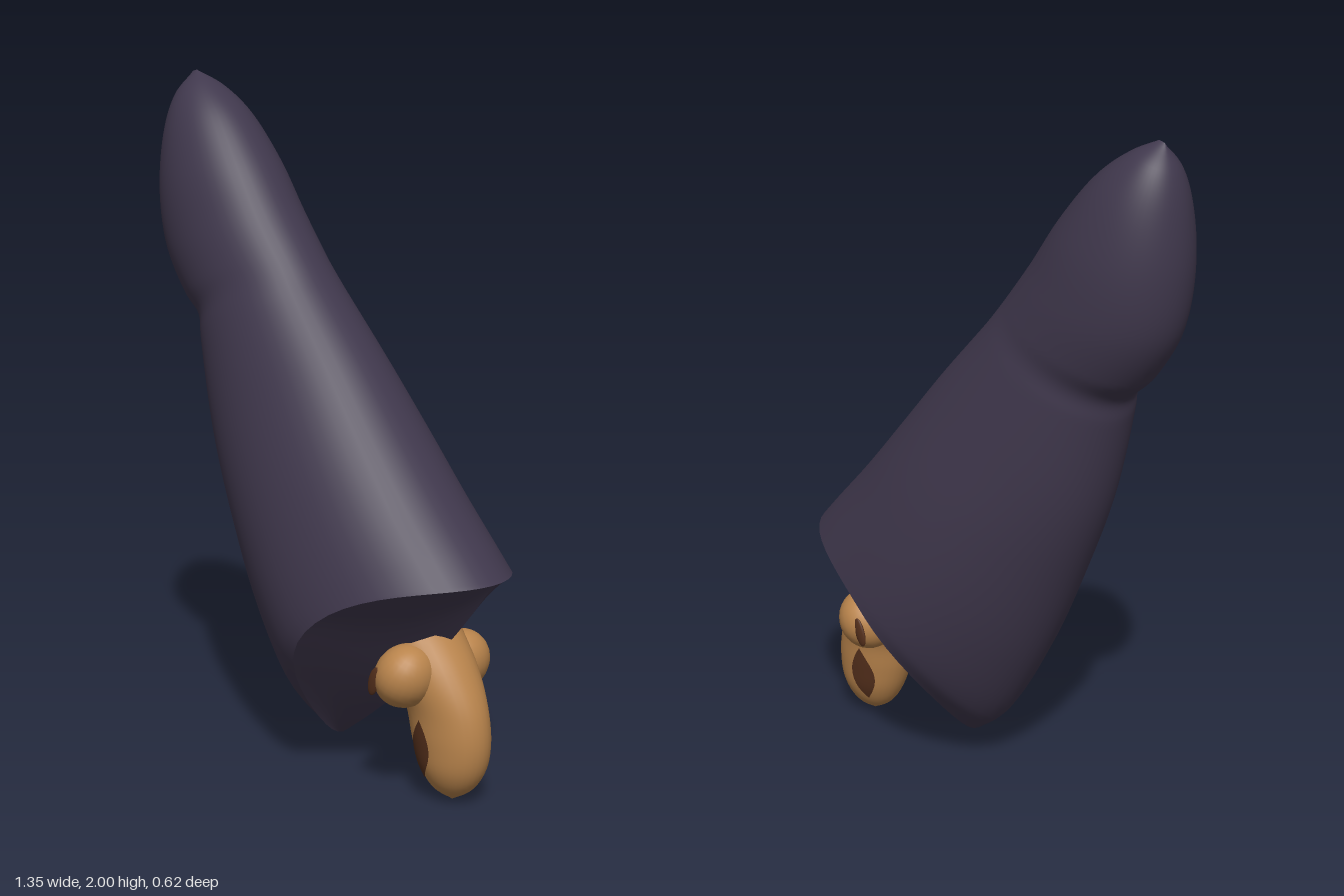
import * as THREE from 'three';

// Each station: left x, left y, right x, right y, half width in z
const hoodStations = [
  [-0.60, 1.995, -0.58, 2.0, 0.0],
  [-0.645, 1.92, -0.50, 1.965, 0.07],
  [-0.67, 1.81, -0.40, 1.895, 0.125],
  [-0.675, 1.63, -0.28, 1.76, 0.17],
  [-0.64, 1.46, -0.18, 1.62, 0.186],
  [-0.55, 1.32, -0.11, 1.53, 0.188],
  [-0.485, 1.26, -0.07, 1.48, 0.187],
  [-0.47, 1.19, -0.02, 1.42, 0.2],
  [-0.40, 0.92, 0.16, 1.225, 0.24],
  [-0.30, 0.67, 0.32, 1.04, 0.275],
  [-0.16, 0.37, 0.47, 0.87, 0.30],
  [-0.02, 0.15, 0.60, 0.735, 0.31],
  [0.07, 0.08, 0.67, 0.66, 0.31],
];
const headStations = [
  [0.32, 0.40, 0.50, 0.49, 0.12],
  [0.35, 0.31, 0.575, 0.39, 0.115],
  [0.37, 0.26, 0.63, 0.28, 0.10],
  [0.39, 0.18, 0.645, 0.18, 0.095],
  [0.42, 0.10, 0.63, 0.10, 0.085],
  [0.46, 0.04, 0.59, 0.04, 0.055],
  [0.525, 0.0, 0.525, 0.0, 0.0],
];

// Smooth section values at u = 0..1 along a list of stations
function sampler(stations) {
  const curve = (i, j, k) => new THREE.CatmullRomCurve3(
    stations.map((s) => new THREE.Vector3(s[i], s[j], k === undefined ? 0 : s[k])));
  const left = curve(0, 1, 4), right = curve(2, 3);
  return (u) => {
    const a = left.getPoint(u), b = right.getPoint(u);
    return {
      x: (a.x + b.x) / 2, y: (a.y + b.y) / 2,
      dx: (b.x - a.x) / 2, dy: (b.y - a.y) / 2, w: Math.max(0, a.z),
    };
  };
}

// Grid surface from a point rule; wraps around when closed
function surface(rule, rows, cols, closed = true) {
  const pos = [], index = [], n = closed ? cols : cols + 1;
  for (let i = 0; i <= rows; i++)
    for (let j = 0; j < n; j++) pos.push(...rule(i / rows, j / cols));
  for (let i = 0; i < rows; i++)
    for (let j = 0; j < cols; j++) {
      const a = i * n + j, b = i * n + (j + 1) % n;
      index.push(a, b, a + n, b, b + n, a + n);
    }
  const g = new THREE.BufferGeometry();
  g.setAttribute('position', new THREE.Float32BufferAttribute(pos, 3));
  g.setIndex(index);
  g.computeVertexNormals();
  return g;
}

export function createModel() {
  const group = new THREE.Group();
  const material = (name, color) => {
    const m = new THREE.MeshStandardMaterial({ color });
    m.name = name;
    return m;
  };
  const cloth = material('dark purple cloth', 0x40384d);
  const skin = material('tan', 0xb9844c);
  const mark = material('dark brown', 0x55301c);
  mark.side = THREE.DoubleSide;
  const add = (name, geometry, mat) => {
    const m = new THREE.Mesh(geometry, mat);
    m.name = name;
    group.add(m);
    return m;
  };

  // Hood: egg-shaped sections whose sides draw back toward the open end
  const hood = sampler(hoodStations);
  const hoodPoint = (u, v) => {
    const s = hood(u), t = v * Math.PI * 2, c = Math.cos(t), n = Math.sin(t);
    const end = Math.max(0, (u - 0.6) / 0.4) ** 1.5;
    const pull = 0.125 * end * n * n;
    const taper = c < 0 ? 1 - 0.45 * end * c * c : 1;
    return [s.x + s.dx * c - pull, s.y + s.dy * c + pull, s.w * n * taper];
  };
  add('hood', surface(hoodPoint, 80, 48), cloth);

  // Underside: folds from the rim to a bulging centre ridge
  const rim = hood(1);
  add('hoodUnderside', surface((s, v) => {
    const p = hoodPoint(1, v), c = Math.cos(v * Math.PI * 2);
    const bulge = 0.025 * (1 - c * c);
    const x = rim.x + rim.dx * c + bulge, y = rim.y + rim.dy * c - bulge;
    return [p[0] + (x - p[0]) * s, p[1] + (y - p[1]) * s, p[2] * (1 - s)];
  }, 8, 48), cloth);

  // Drooping head
  const head = sampler(headStations);
  const headPoint = (u, v, grow = 0) => {
    const s = head(u), t = v * Math.PI * 2;
    return [s.x + s.dx * Math.cos(t), s.y + s.dy * Math.cos(t),
      (s.w + grow) * Math.sin(t)];
  };
  add('head', surface((u, v) => headPoint(u, v), 30, 32), skin);

  for (const side of [1, -1]) {
    // Rounded cheeks under the hood rim
    const cheek = add('cheek', new THREE.SphereGeometry(1, 24, 16), skin);
    cheek.scale.set(0.085, 0.095, 0.095);
    cheek.position.set(0.44, 0.37, side * 0.105);
    cheek.rotation.z = -0.5;

    // Curved mouth patch, widest in the middle
    add('mouth', surface((a, b) => {
      const half = 0.055 * Math.sin(Math.PI * a);
      const v = 0.27 + 0.06 * a + (b - 0.5) * 2 * half;
      return headPoint(0.37 + 0.38 * a, side > 0 ? v : 1 - v, 0.005);
    }, 12, 6, false), mark);

    // Small dark eye beside the rim
    const eye = add('eye', new THREE.SphereGeometry(1, 16, 10), mark);
    eye.scale.set(0.02, 0.045, 0.008);
    eye.position.set(0.395, 0.36, side * 0.186);
    eye.rotation.z = -0.3;
  }
  return group;
}
